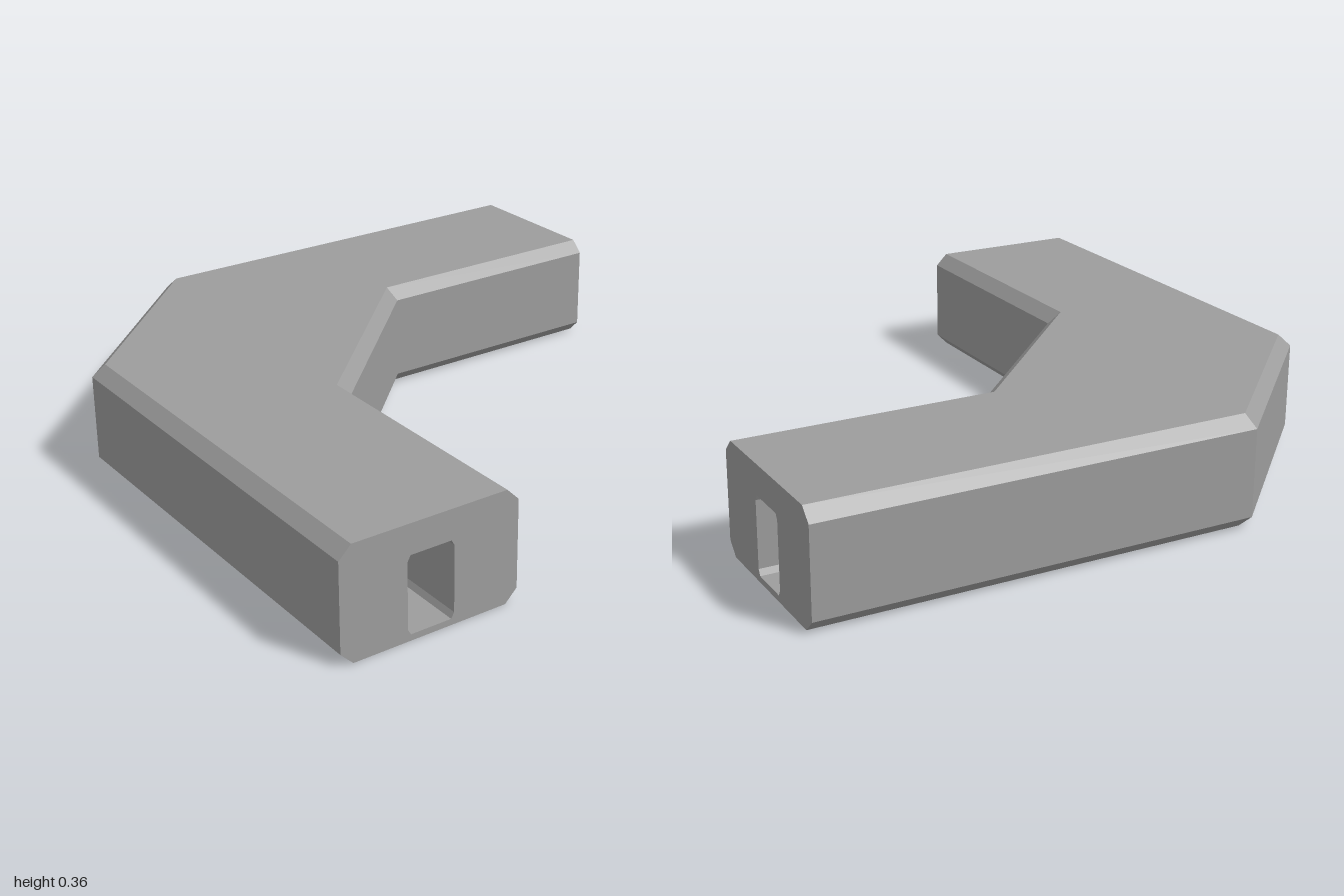
import * as THREE from 'three';

// Rectangle with cut corners, counter-clockwise as [x, y]
function cutRect(x0, x1, y0, y1, cx, cy) {
  return [
    [x0 + cx, y0], [x1 - cx, y0], [x1, y0 + cy], [x1, y1 - cy],
    [x1 - cx, y1], [x0 + cx, y1], [x0, y1 - cy], [x0, y0 + cy],
  ];
}

// Four stations along the bend: leg end, two mitres, mirrored leg end
function stations(profile, mitre) {
  const end = profile.map(([x, y]) => [x, y, 1]);
  const bend = profile.map(([x, y]) => [x, y, mitre(x)]);
  const mirror = (loop) => loop.map(([x, y, z]) => [z, y, x]);
  return [end, bend, mirror(bend), mirror(end)];
}

// Quads joining consecutive loops
function joinLoops(loops, flip) {
  const pos = [];
  for (let s = 0; s < loops.length - 1; s++) {
    const a = loops[s], b = loops[s + 1];
    for (let i = 0; i < a.length; i++) {
      const j = (i + 1) % a.length;
      const q = [a[j], a[i], b[i], b[j]];
      if (flip) q.reverse();
      pos.push(...q[0], ...q[1], ...q[2], ...q[0], ...q[2], ...q[3]);
    }
  }
  const geo = new THREE.BufferGeometry();
  geo.setAttribute('position', new THREE.Float32BufferAttribute(pos, 3));
  geo.computeVertexNormals();
  return geo;
}

export function createModel() {
  const group = new THREE.Group();
  group.name = 'cornerDuct';
  const grey = new THREE.MeshStandardMaterial({ color: 0x9c9c9c });
  grey.name = 'grey';

  const add = (name, geo) => {
    const mesh = new THREE.Mesh(geo, grey);
    mesh.name = name;
    group.add(mesh);
  };

  // Chamfered casing; its chamfers keep an even width round the bend
  const slope = Math.tan(Math.PI / 8);
  const outer = stations(
    cutRect(-1, -0.41, 0, 0.362, 0.04, 0.04),
    (x) => (x < -0.7 ? -0.43 + (x + 1) * slope : 0.163 + (x + 0.41) * slope),
  );
  // Channel running through from end to end
  const inner = stations(
    cutRect(-0.783, -0.628, 0.02, 0.266, 0.01, 0.018),
    (x) => x + 0.57,
  );

  add('casing', joinLoops(outer, false));
  add('channel', joinLoops(inner, true));
  add('frontEnd', joinLoops([inner[0], outer[0]], false));
  add('leftEnd', joinLoops([inner[3], outer[3]], true));
  return group;
}
